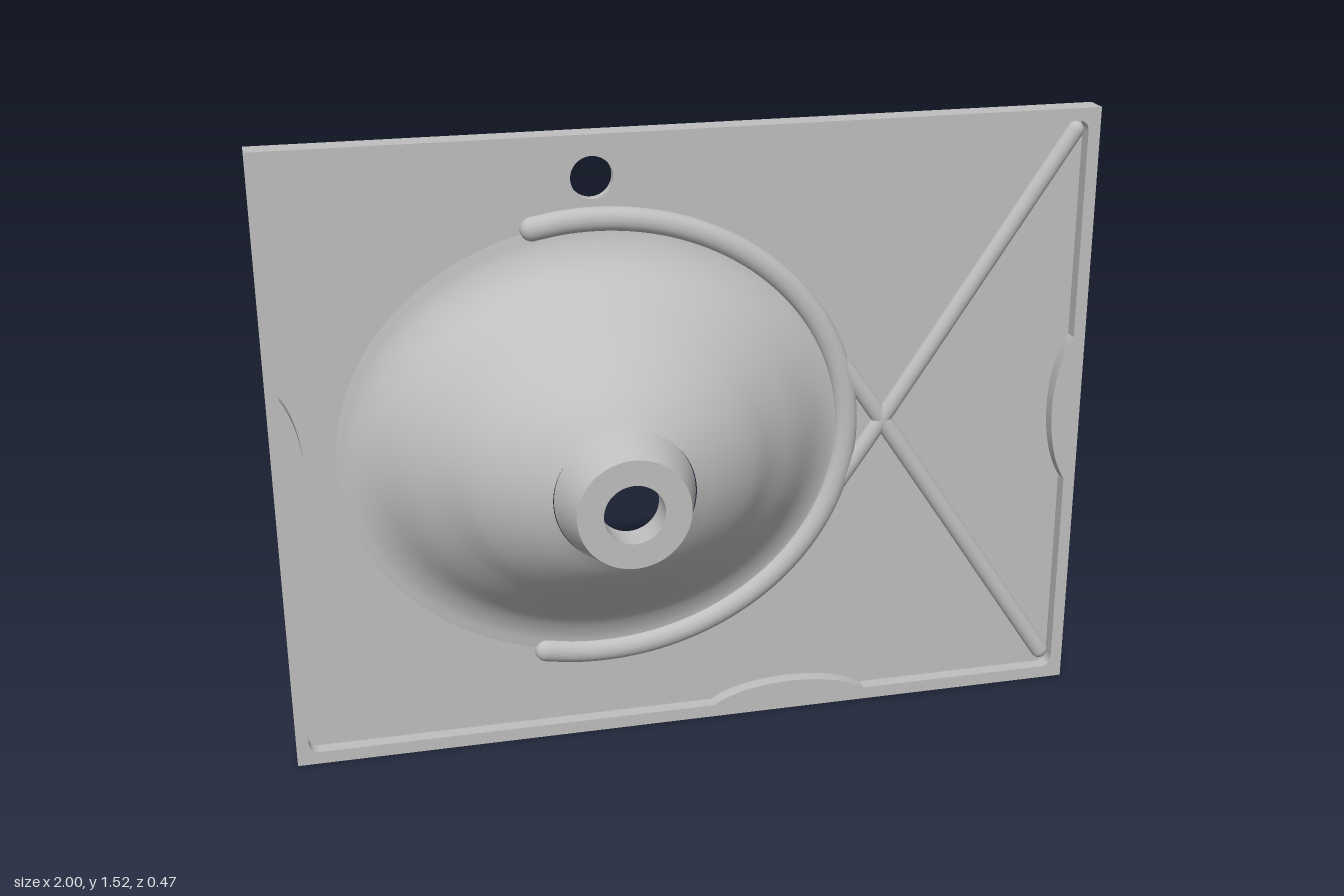
import * as THREE from 'three';

const W = 1, H = 1.525;                       // half width, full height
const BACK = -0.235, FLOOR = -0.21, RIM = -0.175;
const CX = -0.23, CY = 0.765;                 // basin centre
const RX = 0.62, RY = 0.55;                   // basin opening
const SEG = 96;

const ceramic = new THREE.MeshStandardMaterial({ color: 0xbfbfbf });
ceramic.name = 'grey ceramic';

const V = (x, y, z) => new THREE.Vector3(x, y, z);

function add(group, name, geometry) {
  const mesh = new THREE.Mesh(geometry, ceramic);
  mesh.name = name;
  group.add(mesh);
  return mesh;
}

// Elliptical skin through rings given as (radiusX, radiusY, z)
function loft(rings) {
  const pos = [], index = [];
  rings.forEach((r, i) => {
    for (let j = 0; j < SEG; j++) {
      const a = (j / SEG) * Math.PI * 2;
      pos.push(CX + r.x * Math.cos(a), CY + r.y * Math.sin(a), r.z);
      if (i === rings.length - 1) continue;
      const p = i * SEG + j, q = i * SEG + (j + 1) % SEG;
      index.push(p, q, p + SEG, q, q + SEG, p + SEG);
    }
  });
  const g = new THREE.BufferGeometry();
  g.setAttribute('position', new THREE.Float32BufferAttribute(pos, 3));
  g.setIndex(index);
  g.computeVertexNormals();
  return g;
}

const smooth = (rings) => loft(new THREE.CatmullRomCurve3(rings).getPoints(40));

function slabShape() {
  const s = new THREE.Shape();
  s.moveTo(-W, 0).lineTo(W, 0).lineTo(W, H).lineTo(-W, H).closePath();
  return s;
}

function extrude(shape, z0, z1) {
  const g = new THREE.ExtrudeGeometry(shape, { depth: z1 - z0, bevelEnabled: false, curveSegments: SEG / 2 });
  return g.translate(0, 0, z0);
}

// Inner outline of the raised border: rounded corners, one bulge per side
function recessPath() {
  const x = 0.97, b = 0.032, t = 1.495, r = 0.03, d = 0.06;
  const p = new THREE.Path();
  p.moveTo(-x + r, b);
  p.lineTo(0.05, b);
  p.bezierCurveTo(0.14, b + d, 0.36, b + d, 0.45, b);
  p.lineTo(x - r, b);
  p.quadraticCurveTo(x, b, x, b + r);
  p.lineTo(x, 0.57);
  p.bezierCurveTo(x - d, 0.66, x - d, 0.86, x, 0.95);
  p.lineTo(x, t - r);
  p.quadraticCurveTo(x, t, x - r, t);
  p.lineTo(0.45, t);
  p.bezierCurveTo(0.36, t - d, 0.14, t - d, 0.05, t);
  p.lineTo(-x + r, t);
  p.quadraticCurveTo(-x, t, -x, t - r);
  p.lineTo(-x, 0.95);
  p.bezierCurveTo(-x + d, 0.86, -x + d, 0.66, -x, 0.57);
  p.lineTo(-x, b + r);
  p.quadraticCurveTo(-x, b, -x + r, b);
  return p;
}

// Rounded rib lying half sunk in the panel, with round ends
function rib(group, name, points, radius) {
  const part = new THREE.Group();
  part.name = name;
  const curve = new THREE.CatmullRomCurve3(points);
  add(part, name + 'Bar', new THREE.TubeGeometry(curve, points.length * 3, radius, 16));
  for (const end of [points[0], points[points.length - 1]]) {
    add(part, name + 'End', new THREE.SphereGeometry(radius, 16, 12)).position.copy(end);
  }
  part.scale.z = 0.8;
  part.position.z = FLOOR;
  group.add(part);
}

export function createModel() {
  const model = new THREE.Group();
  model.name = 'washbasin';

  // Panel with basin opening and tap hole
  const panel = slabShape();
  panel.holes.push(new THREE.Path().absellipse(CX, CY, RX, RY, 0, Math.PI * 2));
  panel.holes.push(new THREE.Path().absarc(CX, 1.417, 0.05, 0, Math.PI * 2));
  add(model, 'panel', extrude(panel, BACK, FLOOR));

  // Raised border around the panel
  const border = slabShape();
  border.holes.push(recessPath());
  add(model, 'border', extrude(border, FLOOR, RIM));

  // Basin: outer skin
  add(model, 'basinOutside', smooth([
    V(RX, RY, FLOOR), V(0.585, 0.505, -0.202), V(0.54, 0.453, -0.175), V(0.465, 0.39, -0.105),
    V(0.395, 0.338, -0.045), V(0.33, 0.282, 0.02), V(0.24, 0.218, 0.085), V(0.165, 0.161, 0.128),
  ]));

  // Drain: tapered collar, end face, bore and seat, with sharp edges between
  const drain = new THREE.Group();
  drain.name = 'drain';
  const steps = [[0.163, 0.126], [0.13, 0.235], [0.07, 0.235], [0.07, 0.16], [0.12, 0.115]]
    .map(([r, z]) => V(r, r, z));
  ['drainCollar', 'drainEnd', 'drainBore', 'drainSeat'].forEach((name, i) =>
    add(drain, name, loft([steps[i], steps[i + 1]])));
  model.add(drain);

  // Basin: inner skin, from the drain out to the back of the panel
  add(model, 'basinInside', smooth([
    V(0.12, 0.12, 0.115), V(0.22, 0.195, 0.065), V(0.31, 0.265, 0), V(0.38, 0.322, -0.065),
    V(0.445, 0.374, -0.125), V(0.52, 0.437, -0.195), V(0.57, 0.492, -0.226), V(RX, RY, BACK),
  ]));

  // Curved rib around one side of the basin
  const arc = [];
  for (let i = 0; i <= 32; i++) {
    const a = THREE.MathUtils.lerp(-1.8, 1.8, i / 32);
    arc.push(V(CX + 0.622 * Math.cos(a), CY + 0.555 * Math.sin(a), 0));
  }
  rib(model, 'basinRib', arc, 0.029);

  // Crossed diagonal ribs running to the corners
  for (const s of [1, -1]) {
    rib(model, s > 0 ? 'upperRib' : 'lowerRib',
      [V(0.375, CY - s * 0.16, 0), V(0.485, CY, 0), V(0.95, CY + s * 0.7, 0)], 0.022);
  }
  return model;
}
